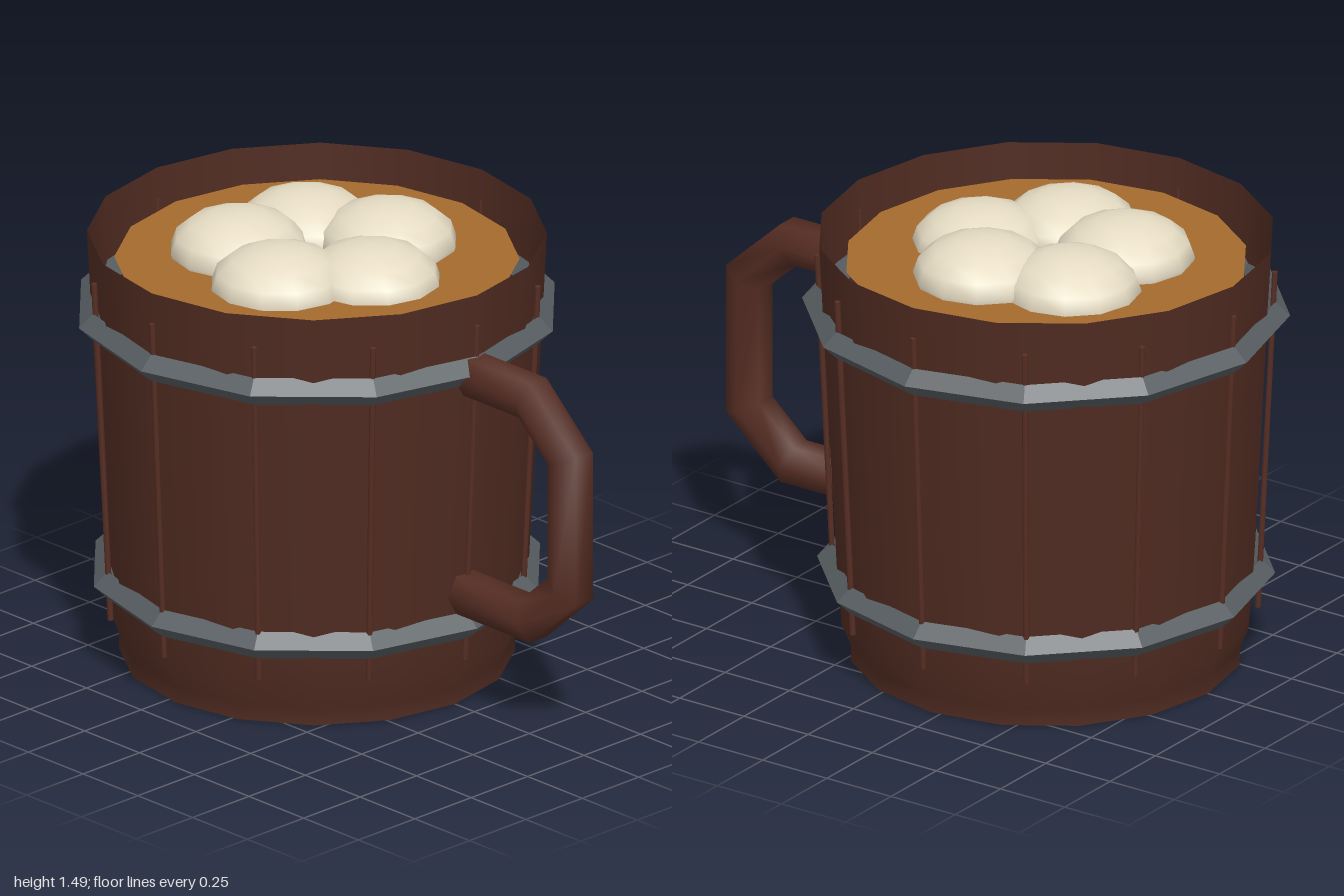
import * as THREE from 'three';

const CX = -0.22; // axis of the cup

function material(name, color, extra = {}) {
  const m = new THREE.MeshStandardMaterial({ color, ...extra });
  m.name = name;
  return m;
}

// Hexagonal bar swept along a path in the xy plane with mitred corners
function mitredBar(path, radius) {
  const sides = 6, pos = [], idx = [];
  const pts = path.map(([x, y]) => new THREE.Vector2(x, y));
  pts.forEach((p, i) => {
    const a = (i ? p.clone().sub(pts[i - 1]) : pts[1].clone().sub(p)).normalize();
    const b = (i < pts.length - 1 ? pts[i + 1].clone().sub(p) : a.clone()).normalize();
    const t = a.clone().add(b).normalize();
    const mitre = 1 / t.dot(a);
    for (let k = 0; k < sides; k++) {
      const ang = (k / sides) * Math.PI * 2;
      const s = Math.sin(ang) * radius * mitre;
      pos.push(p.x - t.y * s, p.y + t.x * s, Math.cos(ang) * radius);
    }
  });
  for (let i = 0; i < pts.length - 1; i++) {
    for (let k = 0; k < sides; k++) {
      const a = i * sides + k, b = i * sides + (k + 1) % sides;
      idx.push(a, a + sides, b, b, a + sides, b + sides);
    }
  }
  const g = new THREE.BufferGeometry();
  g.setAttribute('position', new THREE.Float32BufferAttribute(pos, 3));
  g.setIndex(idx);
  g.computeVertexNormals();
  return g;
}

export function createModel() {
  const model = new THREE.Group();
  model.name = 'mug';
  const wood = material('dark wood', 0x4f2b21, { side: THREE.DoubleSide });
  const trim = material('red brown wood', 0x572e24, { side: THREE.DoubleSide });
  const iron = material('iron', 0x575d61, { flatShading: true });
  const drink = material('amber drink', 0xa46a2c);
  const foam = material('cream foam', 0xe6dcc4);

  const add = (name, geo, mat, x = CX, y = 0, z = 0) => {
    const m = new THREE.Mesh(geo, mat);
    m.name = name;
    m.position.set(x, y, z);
    model.add(m);
    return m;
  };

  // Thin flared wall and base
  const profile = [[0.63, 0], [0.63, 0.055], [0.66, 0.13], [0.675, 0.32], [0.715, 1.1], [0.732, 1.44]];
  add('cupWall', new THREE.LatheGeometry(profile.map(p => new THREE.Vector2(...p)), 16), wood);
  add('cupBase', new THREE.CircleGeometry(0.63, 16).rotateX(Math.PI / 2), wood);

  // Iron hoops with a diamond section
  for (const [y, r] of [[0.29, 0.686], [1.185, 0.734]]) {
    add('hoop', new THREE.TorusGeometry(r, 0.046, 4, 12).rotateX(Math.PI / 2), iron, CX, y);
  }

  // Slim battens leaning with the wall
  const low = new THREE.Vector3(0.677, 0.17, 0), high = new THREE.Vector3(0.731, 1.335, 0);
  const lean = Math.atan2(high.x - low.x, high.y - low.y);
  for (let i = 0; i < 12; i++) {
    const geo = new THREE.CylinderGeometry(0.01, 0.01, low.distanceTo(high), 6);
    geo.rotateZ(-lean).translate((low.x + high.x) / 2, (low.y + high.y) / 2, 0);
    add('batten', geo, trim).rotation.y = (i * Math.PI) / 6;
  }

  // Handle
  const path = [[0.47, 1.163], [0.765, 1.163], [0.937, 1.005], [0.937, 0.555], [0.765, 0.4], [0.455, 0.4]];
  add('handle', mitredBar(path.reverse(), 0.075), trim, 0);

  // Drink surface and ring of foam puffs
  add('drink', new THREE.CircleGeometry(0.645, 16).rotateX(-Math.PI / 2), drink, CX, 1.35);
  const puffY = [1.343, 1.35, 1.363, 1.35, 1.363];
  puffY.forEach((y, i) => {
    const a = (i * Math.PI * 2) / 5;
    const puff = add('foamPuff', new THREE.SphereGeometry(0.225, 12, 8), foam,
      CX + 0.25 * Math.cos(a), y, 0.25 * Math.sin(a));
    puff.scale.y = 0.585;
  });
  return model;
}
